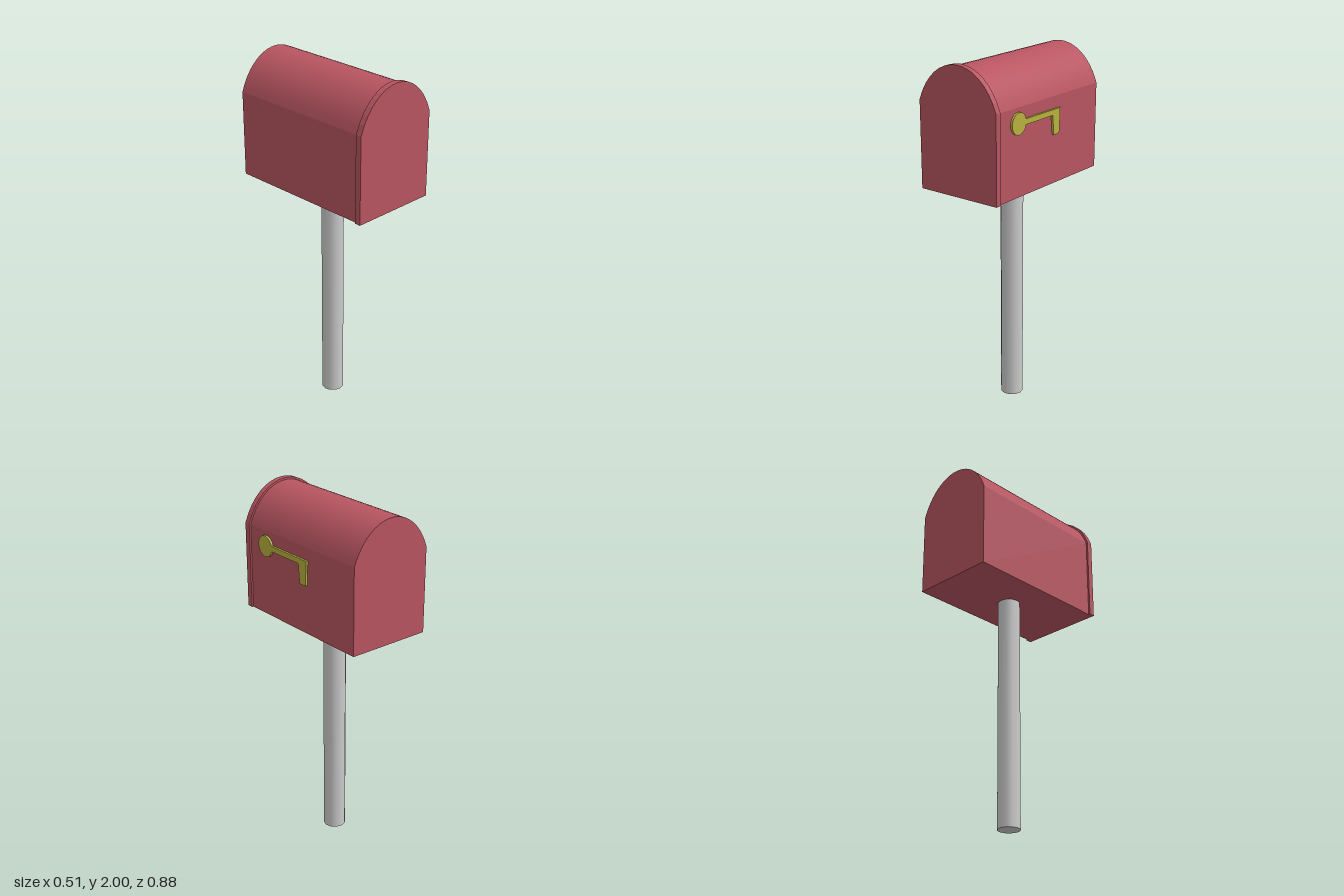
import * as THREE from 'three';
import { toCreasedNormals } from 'three/addons/utils/BufferGeometryUtils.js';

const CENTER_X = -0.004;
const BASE_Y = 1.31;

// Straight-sided outline with an arched top
function archShape(halfWidth, shoulderY, topY) {
  const rise = (topY - shoulderY) / 0.75;
  const pull = halfWidth * 0.6;
  const s = new THREE.Shape();
  s.moveTo(-halfWidth, BASE_Y);
  s.lineTo(halfWidth, BASE_Y);
  s.lineTo(halfWidth, shoulderY);
  s.bezierCurveTo(pull, shoulderY + rise, -pull, shoulderY + rise, -halfWidth, shoulderY);
  s.closePath();
  return s;
}

function extrude(shape, depth, curveSegments) {
  return new THREE.ExtrudeGeometry(shape, { depth, curveSegments, bevelEnabled: false });
}

export function createModel() {
  const group = new THREE.Group();
  const red = new THREE.MeshStandardMaterial({ color: 0xb85561 });
  const yellow = new THREE.MeshStandardMaterial({ color: 0xb8b040 });
  const grey = new THREE.MeshStandardMaterial({ color: 0xcccccc });

  function add(name, geometry, material, x, y, z) {
    const mesh = new THREE.Mesh(geometry, material);
    mesh.name = name;
    mesh.position.set(x, y, z);
    group.add(mesh);
    return mesh;
  }

  // Post
  add('post', new THREE.CylinderGeometry(0.063, 0.063, BASE_Y, 12), grey, -0.005, BASE_Y / 2, -0.005);

  // Arched box
  const body = toCreasedNormals(extrude(archShape(0.241, 1.785, 1.988), 0.852, 24), 0.35);
  add('mailboxBody', body, red, CENTER_X, 0, -0.444);

  // Slightly larger front door
  const door = extrude(archShape(0.251, 1.79, 2.0), 0.034, 16);
  add('frontDoor', door, red, CENTER_X, 0, 0.407);

  // Signal flag: round disc, arm and tapered drop, drawn with -z along the shape's x
  const discX = -0.262, discY = 1.705, r = 0.058;
  const a = Math.asin(0.015 / r);
  const flag = new THREE.Shape();
  flag.absarc(discX, discY, r, a, Math.PI * 2 - a, false);
  flag.lineTo(0.022, 1.69);
  flag.lineTo(0.032, 1.583);
  flag.lineTo(0.081, 1.583);
  flag.lineTo(0.087, 1.72);
  flag.closePath();
  const flagGeo = toCreasedNormals(extrude(flag, 0.012, 20), 0.5);
  flagGeo.rotateY(Math.PI / 2);
  add('signalFlag', flagGeo, yellow, 0.24, 0, 0);

  return group;
}
